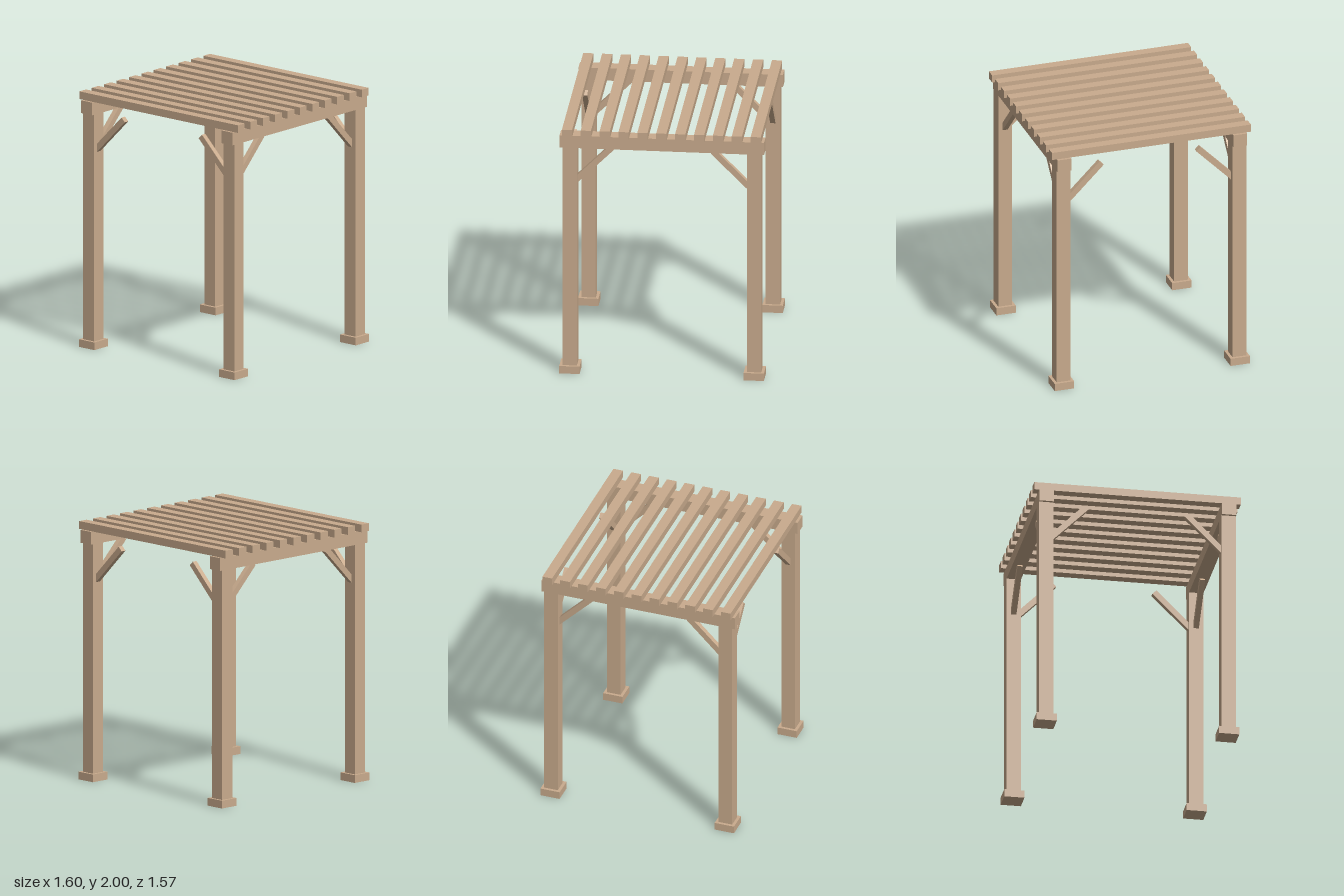
import * as THREE from 'three';

export function createModel() {
  const pergola = new THREE.Group();
  pergola.name = 'pergola';
  const wood = new THREE.MeshStandardMaterial({ color: 0xc9ab8d });
  wood.name = 'wood';

  const box = (name, parent, [w, h, d], [x, y, z]) => {
    const mesh = new THREE.Mesh(new THREE.BoxGeometry(w, h, d), wood);
    mesh.name = name;
    mesh.position.set(x, y, z);
    parent.add(mesh);
    return mesh;
  };

  const POST = 0.705;     // post centre on x and z
  const THICK = 0.11;     // post and beam thickness
  const BEAM_Y = 1.84;    // underside of the beams
  const SLAT_Y = 1.94;    // underside of the slats

  // Four posts with footings and a pair of 45 degree braces each
  for (const sx of [-1, 1]) {
    for (const sz of [-1, 1]) {
      const corner = new THREE.Group();
      corner.name = 'cornerPost';
      corner.position.set(sx * POST, 0, sz * POST);
      pergola.add(corner);

      box('footing', corner, [0.156, 0.06, 0.156], [0, 0.03, 0]);
      box('post', corner, [THICK, BEAM_Y - 0.06, THICK], [0, (BEAM_Y + 0.06) / 2, 0]);

      // Braces start inside the post and rise inwards
      const length = 0.43, run = 0.165, y = 1.685;
      const braceX = box('sideBrace', corner, [0.04, length, 0.046], [-sx * run, y, 0]);
      braceX.geometry.dispose();
      braceX.geometry = new THREE.BoxGeometry(0.046, length, 0.04);
      braceX.rotation.z = sx * Math.PI / 4;
      const braceZ = box('beamBrace', corner, [0.04, length, 0.046], [0, y, -sz * run]);
      braceZ.rotation.x = -sz * Math.PI / 4;
    }

    // Beam running front to back over the posts
    box('beam', pergola, [THICK, SLAT_Y - BEAM_Y, 1.564], [sx * POST, (SLAT_Y + BEAM_Y) / 2, 0]);
  }

  // Eleven roof slats across the beams
  const COUNT = 11;
  for (let i = 0; i < COUNT; i++) {
    const z = -0.722 + (1.444 * i) / (COUNT - 1);
    box('roofSlat', pergola, [1.596, 2 - SLAT_Y, 0.078], [0, (2 + SLAT_Y) / 2, z]);
  }

  return pergola;
}
